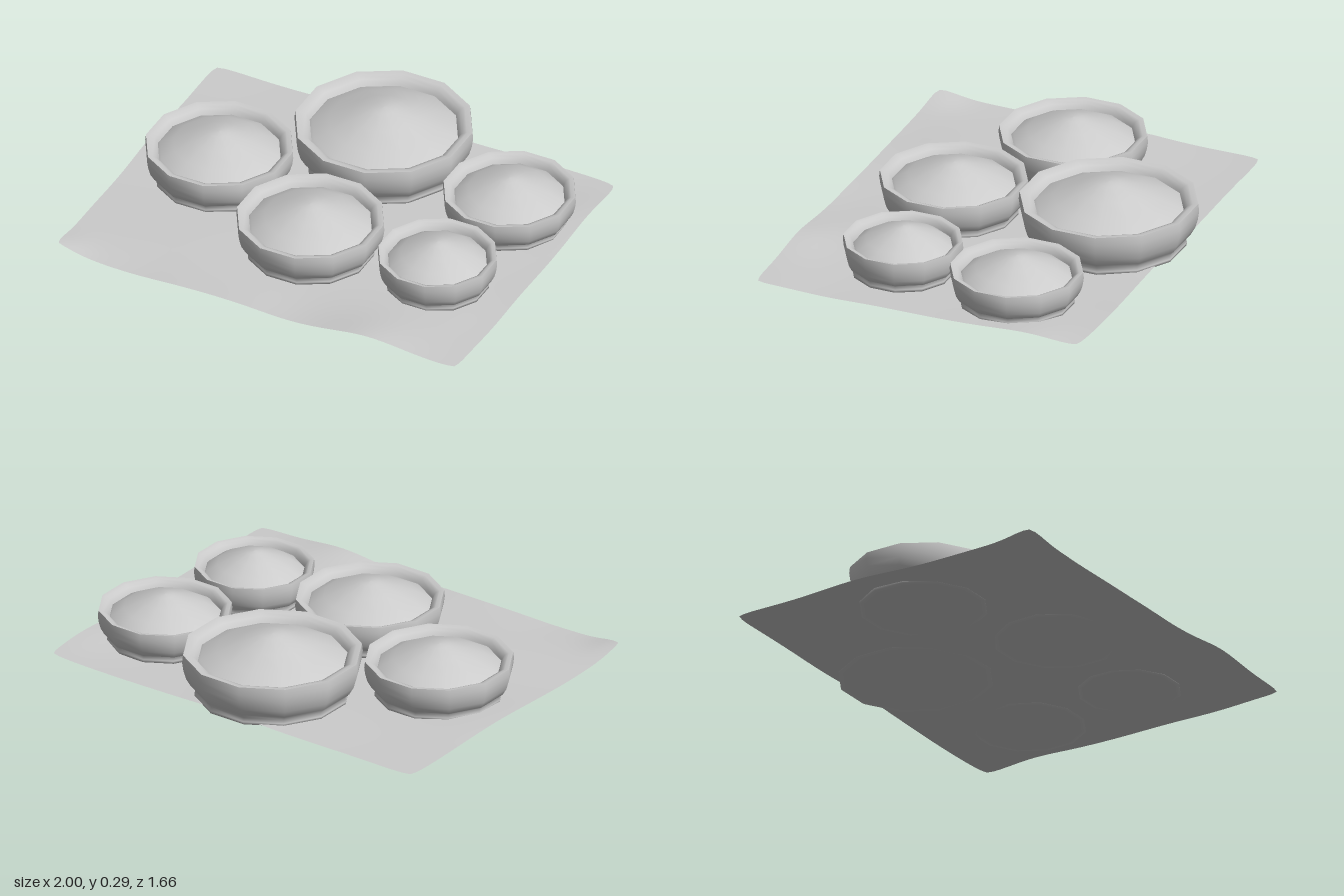
import * as THREE from 'three';

const SIDES = 12;
const grey = new THREE.MeshStandardMaterial({ color: 0xcccccc, side: THREE.DoubleSide });

// Revolved part with flat sides facing the axes; profile is [radius, height] pairs
function lathe(name, profile) {
  const points = profile.map(([r, y]) => new THREE.Vector2(r, y));
  const mesh = new THREE.Mesh(new THREE.LatheGeometry(points, SIDES, Math.PI / SIDES), grey);
  mesh.name = name;
  return mesh;
}

// Bowl with a foot, a rounded belly and a sloping rim, filled with a low heap
function bowl(name, x, z, apothem, rim, peak) {
  const R = apothem / Math.cos(Math.PI / SIDES);
  const group = new THREE.Group();
  group.name = name;
  group.add(
    lathe('bowlOutside', [
      [0, 0.014], [0.78 * R, 0.01], [0.86 * R, 0.012], [0.865 * R, 0.025], [0.85 * R, 0.042],
      [0.905 * R, 0.3 * rim], [0.955 * R, 0.46 * rim], [0.985 * R, 0.65 * rim],
      [R, 0.84 * rim], [0.99 * R, rim],
    ]),
    lathe('bowlInside', [
      [0.99 * R, rim], [0.93 * R, rim - 0.003], [0.875 * R, rim - 0.012],
      [0.835 * R, rim - 0.035], [0.79 * R, rim - 0.07],
    ]),
    lathe('heap', [
      [0.86 * R, rim - 0.048], [0.8 * R, rim - 0.03], [0.62 * R, rim + 0.002],
      [0.36 * R, rim + 0.55 * (peak - rim)], [0.13 * R, peak - 0.003], [0.0001, peak],
    ]),
  );
  group.position.set(x, 0, z);
  return group;
}

// Thin rippled cloth with softened corners and a few lifted folds
function cloth() {
  const W = 1, D = 0.785, zMid = 0.045;
  // Folds: x, z, spread, lift
  const folds = [
    [-1, 0.83, 0.13, 0.028], [0.55, 0.85, 0.2, 0.026], [1, -0.5, 0.18, 0.014],
    [-1, -0.1, 0.25, 0.01], [0, -0.74, 0.2, 0.008], [0.15, 0.8, 0.18, -0.008],
    [1, 0.5, 0.2, -0.007], [-0.6, 0.8, 0.15, -0.004],
  ];
  const geometry = new THREE.PlaneGeometry(2 * W, 2 * D, 48, 40).rotateX(-Math.PI / 2);
  const p = geometry.attributes.position;
  for (let i = 0; i < p.count; i++) {
    const u = p.getX(i) / W, v = p.getZ(i) / D;
    const corner = Math.pow(Math.abs(u * v), 24);
    const x = u * W * (1 - 0.012 * corner) - 0.003 * Math.abs(u) * u * (1 + Math.sin(9 * v)) / 2;
    const z = v * D * (1 - 0.018 * corner) + zMid + 0.004 * v * v * Math.sin(7 * u);
    let y = 0.013 + 0.003 * Math.sin(5 * x + 2 * z) * Math.cos(6 * z - x);
    for (const [fx, fz, s, lift] of folds) {
      y += lift * Math.exp(-((x - fx) ** 2 + (z - fz) ** 2) / (s * s));
    }
    p.setXYZ(i, x, Math.max(y, 0), z);
  }
  geometry.computeVertexNormals();
  const mesh = new THREE.Mesh(geometry, grey);
  mesh.name = 'cloth';
  return mesh;
}

export function createModel() {
  const model = new THREE.Group();
  model.name = 'bowlsOnCloth';
  model.add(
    cloth(),
    bowl('largeBowl', -0.01, -0.44, 0.391, 0.22, 0.3),
    bowl('rightBowl', -0.605, -0.003, 0.324, 0.185, 0.252),
    bowl('frontBowl', 0.006, 0.304, 0.324, 0.185, 0.252),
    bowl('leftBackBowl', 0.686, -0.302, 0.291, 0.168, 0.23),
    bowl('leftFrontBowl', 0.624, 0.276, 0.261, 0.168, 0.228),
  );
  return model;
}
